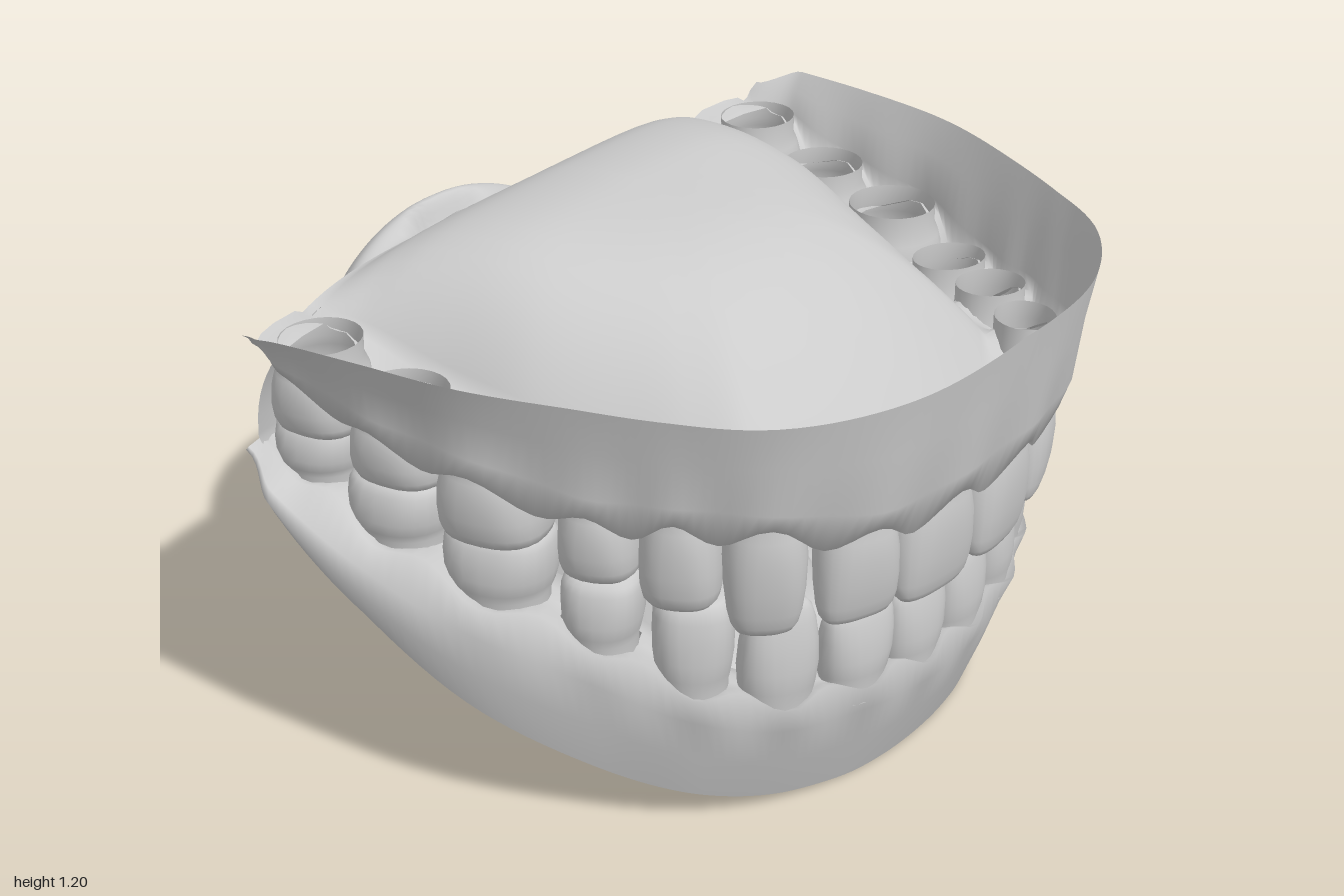
import * as THREE from 'three';

const material = new THREE.MeshStandardMaterial({ color: 0xcccccc, side: THREE.DoubleSide });
const { lerp, clamp, smoothstep } = THREE.MathUtils;
const SUB = 8; // gum sections per tooth

// Smooth surface through rows of points; skip(row, column) leaves holes
function sheet(name, rows, closed = false, skip = () => false) {
  const n = rows[0].length, index = [];
  for (let i = 0; i < rows.length - 1; i++) {
    for (let j = 0; j < (closed ? n : n - 1); j++) {
      if (skip(i, j)) continue;
      const k = (j + 1) % n;
      const a = i * n + j, b = i * n + k, c = a + n, d = b + n;
      index.push(a, c, b, b, c, d);
    }
  }
  const geo = new THREE.BufferGeometry();
  geo.setAttribute('position', new THREE.Float32BufferAttribute(rows.flat(2), 3));
  geo.setIndex(index);
  geo.computeVertexNormals();
  const mesh = new THREE.Mesh(geo, material);
  mesh.name = name;
  return mesh;
}

// Smooth lookup in [position, value] pairs of rising position
function lookup(table, p) {
  const last = table.length - 1;
  if (p <= table[0][0]) return table[0][1];
  if (p >= table[last][0]) return table[last][1];
  const i = table.findIndex(e => e[0] >= p);
  const slope = k => {
    const a = table[Math.max(k - 1, 0)], b = table[Math.min(k + 1, last)];
    return (b[1] - a[1]) / (b[0] - a[0]);
  };
  const [p0, v0] = table[i - 1], [p1, v1] = table[i], w = p1 - p0, t = (p - p0) / w;
  const s = t * t * (3 - 2 * t);
  return lerp(v0, v1, s) + w * t * (1 - t) * ((1 - t) * slope(i - 1) - t * slope(i));
}

const spow = (v, e) => Math.sign(v) * Math.abs(v) ** e;

// One side, front to back: x, z, biting edge y, gum line y, width, depth
const upperTeeth = [
  [0.13, 0.855, 0.50, 0.77, 0.25, 0.15], [0.35, 0.81, 0.52, 0.77, 0.20, 0.15],
  [0.53, 0.70, 0.53, 0.82, 0.19, 0.17], [0.62, 0.55, 0.59, 0.83, 0.18, 0.20],
  [0.69, 0.39, 0.64, 0.83, 0.18, 0.22], [0.77, 0.17, 0.69, 0.89, 0.25, 0.25],
  [0.80, -0.06, 0.77, 0.93, 0.23, 0.24], [0.82, -0.28, 0.83, 1.00, 0.21, 0.23],
  [0.84, -0.40, 0.90, 1.03, 0.15, 0.20]];
const lowerTeeth = [
  [0.095, 0.80, 0.49, 0.29, 0.19, 0.12], [0.28, 0.77, 0.51, 0.31, 0.19, 0.13],
  [0.46, 0.69, 0.57, 0.32, 0.19, 0.14], [0.59, 0.56, 0.60, 0.38, 0.18, 0.18],
  [0.68, 0.385, 0.64, 0.48, 0.18, 0.20], [0.76, 0.17, 0.72, 0.56, 0.25, 0.23],
  [0.79, -0.08, 0.78, 0.64, 0.24, 0.23], [0.80, -0.30, 0.85, 0.73, 0.21, 0.22],
  [0.82, -0.43, 0.90, 0.78, 0.15, 0.20]];

// Dental arch: full-width curve with one control point per tooth
function makeArch(teeth) {
  const full = [...teeth.map(([x, ...r]) => [-x, ...r]).reverse(), ...teeth];
  const curve = new THREE.CatmullRomCurve3(full.map(([x, z]) => new THREE.Vector3(x, 0, z)));
  const last = full.length - 1;
  const heights = full.map((f, i) => [i, f[3]]), depths = full.map((f, i) => [i, f[5]]);
  return {
    full, last,
    at(s) {
      const p = curve.getPoint(s / last), t = curve.getTangent(s / last);
      const u = Math.abs(2 * s / last - 1); // 0 at the front, 1 at the back
      return {
        p, t, u, n: new THREE.Vector3(-t.z, 0, t.x), // outward
        gum: lookup(heights, s), depth: lookup(depths, s),
        // 1 between two teeth, fading out behind the last one
        gap: (0.5 - 0.5 * Math.cos(2 * Math.PI * s)) * (1 - smoothstep(u, 0.87, 0.93))
      };
    }
  };
}

// Gum sheet; section(frame) lists outer points, the socket strip, then inner points
function gums(name, arch, section) {
  const rows = [];
  for (let i = 0; i <= arch.last * SUB; i++) {
    const f = arch.at(i / SUB);
    // the outer side draws in at both ends of the arch
    const end = 1 - 0.38 * smoothstep(f.u, 0.9, 1);
    f.place = (offset, y) => {
      const o = offset > 0 ? offset * end : offset;
      return [f.p.x + f.n.x * o, y, f.p.z + f.n.z * o];
    };
    f.socket = f.depth * 0.5 * (0.8 - 0.45 * f.gap); // half depth of the socket
    rows.push(section(f));
  }
  // sockets lie between columns 4 and 6, around each tooth centre
  const socket = (i, j) => {
    const s = (i + 0.5) / SUB, tooth = Math.round(s);
    return tooth > 0 && tooth < arch.last && Math.abs(s - tooth) < 0.375 && (j === 4 || j === 5);
  };
  return sheet(name, rows, false, socket);
}

// Hollow tooth crown, open at the root; columns: height, width, depth
const crown = [[0, 0.86, 0.86], [0.15, 0.93, 0.95], [0.35, 0.99, 1], [0.6, 1, 1], [0.8, 0.98, 0.96],
  [0.91, 0.92, 0.88], [0.97, 0.8, 0.75], [1, 0.6, 0.52], [0.99, 0.3, 0.26], [0.97, 0, 0]];
function toothRow(name, arch) {
  const group = new THREE.Group();
  group.name = name;
  for (let i = 1; i < arch.last; i++) {
    const [, , tip, gum, width, depth] = arch.full[i];
    const { p, t, n } = arch.at(i);
    const order = i > arch.last / 2 ? i - 9 : 8 - i; // 0 at the front
    const chisel = order < 3 ? 0.5 : 0.9, taper = order === 2 ? 0.2 : 0;
    const root = [-0.045 / Math.abs(tip - gum), 0.86, 0.86];
    const rows = [root, ...crown].map(([v, w, d]) => {
      const h = Math.max(v, 0), e = lerp(1, 0.8, Math.min(h * 2, 1));
      const a = w * width / 2 * (1 - taper * h * h), b = d * depth / 2 * lerp(1, chisel, h * h);
      const lean = order < 3 ? 0.015 * h : 0;
      return Array.from({ length: 24 }, (_, k) => {
        const q = k / 24 * Math.PI * 2;
        const along = a * spow(Math.cos(q), e), out = b * spow(Math.sin(q), e) + lean;
        return [p.x + t.x * along + n.x * out, lerp(gum, tip, v), p.z + t.z * along + n.z * out];
      });
    });
    group.add(sheet('tooth', rows, true));
  }
  return group;
}

// Upper gum with the vaulted palate
const palate = [[-0.41, 1.085], [-0.34, 1.14], [-0.25, 1.18], [-0.1, 1.2], [0.05, 1.19], [0.25, 1.165], [0.43, 1.125], [0.8, 1.03]];
function upperGum(arch) {
  return gums('upperGumAndPalate', arch, f => {
    const { u, gum, depth, gap, place, socket } = f;
    const edge = gum - lerp(0.065, 0.04, u) * gap, half = depth * 0.5;
    const rim = 1.1 - 0.015 * Math.sin(u * Math.PI * 2) - 0.03 * smoothstep(u, 0.9, 1);
    const row = [
      place(lerp(0.135, 0.19, u), rim),
      place(lerp(0.115, 0.155, u), lerp(rim, gum, 0.4)),
      place(lerp(0.1, 0.135, u) - 0.01 * gap, lerp(rim, gum, 0.85)),
      place(half + 0.015 - 0.03 * gap, edge),
      place(socket, edge + 0.015), place(0, edge + 0.02), place(-socket, edge + 0.015)];
    const inner = place(-half - 0.01, gum - 0.01 * gap);
    const spineZ = lerp(-0.4, inner[2], 0.55) - 0.09 * (1 - u);
    const power = lerp(5.5, 2.9, smoothstep(f.p.z, -0.1, 0.85));
    for (const q of [0, 0.03, 0.06, 0.1, 0.15, 0.21, 0.28, 0.36, 0.45, 0.55, 0.66, 0.78, 0.9, 1]) {
      const z = lerp(inner[2], spineZ, q);
      row.push([inner[0] * (1 - q), lerp(gum, lookup(palate, z), 1 - (1 - q) ** power), z]);
    }
    return row;
  });
}

// Lower gum, mouth floor and the tongue rising from it
const lowerEdge = [[-0.43, 0.77], [-0.3, 0.66], [-0.08, 0.48], [0.17, 0.29], [0.385, 0.16], [0.56, 0.08], [0.69, 0.035], [0.8, 0.004]];
const floorY = [[-0.45, 0.51], [-0.3, 0.34], [-0.2, 0.24], [-0.1, 0.145], [0, 0.11], [0.3, 0.1], [0.5, 0.14]];
const tongueY = [[-0.42, 0.53], [-0.3, 0.64], [-0.15, 0.68], [0.1, 0.66], [0.4, 0.5]];
// fraction towards the middle, share of gum height, share of tongue height
const floorPath = [[0, 1, 0], [0.05, 0.85, 0], [0.11, 0.5, 0], [0.18, 0.17, 0], [0.24, 0.03, 0], [0.3, 0, 0],
  [0.36, 0, 0.04], [0.41, 0, 0.2], [0.46, 0, 0.5], [0.53, 0, 0.78], [0.65, 0, 0.93], [0.82, 0, 0.99], [1, 0, 1]];
function lowerGum(arch) {
  return gums('lowerGumAndTongue', arch, f => {
    const { u, gum, depth, gap, place, socket } = f;
    const bottom = lookup(lowerEdge, f.p.z), edge = gum + 0.03 * gap, half = depth * 0.5;
    const flare = smoothstep(u, 0.2, 0.9);
    const row = [
      place(lerp(-0.035, 0.18, flare), bottom),
      place(lerp(0.01, 0.195, flare), lerp(bottom, gum, 0.4)),
      place(lerp(0.045, 0.18, flare), lerp(bottom, gum, 0.76)),
      place(half + 0.01 - 0.025 * gap, edge),
      place(socket, edge - 0.01), place(0, edge - 0.015), place(-socket, edge - 0.01)];
    const inner = place(-half - 0.01, gum);
    const spineZ = lerp(-0.42, inner[2], 0.25);
    for (const [q, g, h] of floorPath) {
      const z = lerp(inner[2], spineZ, q);
      const base = lerp(lookup(floorY, z), inner[1], g);
      row.push([inner[0] * (1 - q), lerp(base, Math.max(base, lookup(tongueY, z)), h), z]);
    }
    return row;
  });
}

// Throat pocket; columns: half width, back y, back z, front y, front z
const throatRings = [
  [0.91, 1.09, -0.39, 0.52, -0.41], [0.77, 1.035, -0.47, 0.50, -0.45], [0.62, 0.988, -0.55, 0.43, -0.50],
  [0.54, 0.975, -0.61, 0.37, -0.54], [0.47, 0.995, -0.68, 0.28, -0.60], [0.41, 0.89, -0.78, 0.18, -0.67],
  [0.38, 0.68, -0.88, 0.11, -0.73], [0.35, 0.45, -0.955, 0.065, -0.78], [0.29, 0.22, -0.998, 0.04, -0.825],
  [0.17, 0.09, -0.975, 0.03, -0.86], [0, 0.045, -0.92, 0.045, -0.92]];
function throat() {
  const back = new THREE.CatmullRomCurve3(throatRings.map(r => new THREE.Vector3(r[0], r[1], r[2])));
  const front = new THREE.CatmullRomCurve3(throatRings.map(r => new THREE.Vector3(0, r[3], r[4])));
  const rows = [];
  for (let i = 0; i <= 90; i++) {
    const b = back.getPoint(i / 90), f = front.getPoint(i / 90), blend = clamp(i / 25, 0, 1);
    rows.push(Array.from({ length: 96 }, (_, k) => {
      const a = k / 96 * Math.PI * 2;
      // flat-topped and pointed below at the mouth, round further down
      const e = 2 / lerp(Math.cos(a) > 0 ? 3 : 1.7, 2, blend);
      const c = spow(Math.cos(a), e), x = b.x * spow(Math.sin(a), e), z = lerp(f.z, b.z, (1 + c) / 2);
      // crescent dent above the uvula
      const arc = z + 0.645 - 0.05 * (x / 0.13) ** 2;
      const dent = c > 0 ? 0.07 * Math.exp(-((x / 0.13) ** 4) - (arc / 0.025) ** 2) : 0;
      return [x, lerp(f.y, b.y, (1 + c) / 2) - dent, z];
    }));
  }
  return sheet('throat', rows, true);
}

export function createModel() {
  const model = new THREE.Group();
  model.name = 'mouth';
  const upper = makeArch(upperTeeth), lower = makeArch(lowerTeeth);
  model.add(upperGum(upper), toothRow('upperTeeth', upper));
  model.add(lowerGum(lower), toothRow('lowerTeeth', lower));
  model.add(throat());
  return model;
}
